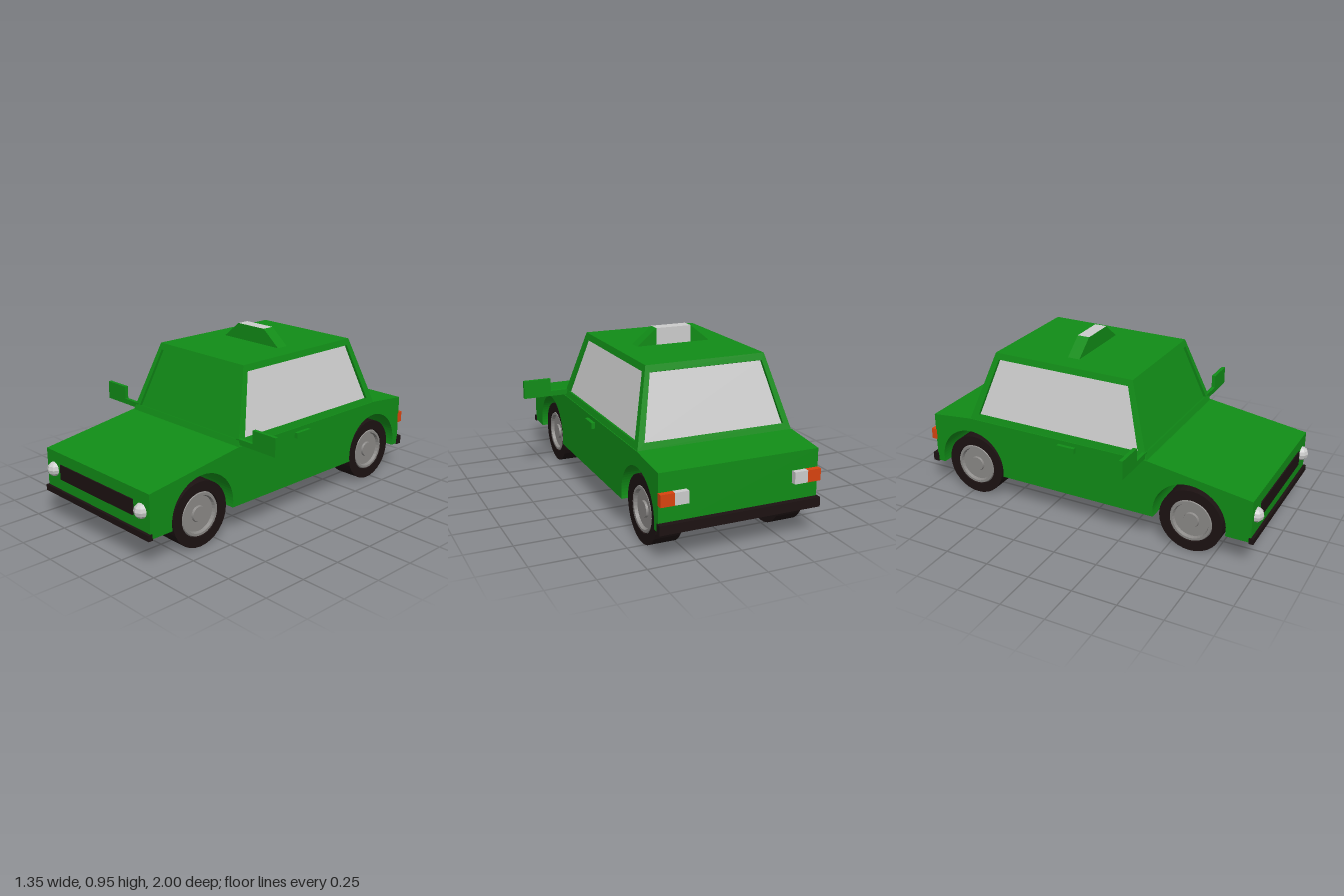
import * as THREE from 'three';

const mat = (color) => new THREE.MeshStandardMaterial({ color, side: THREE.DoubleSide, flatShading: true });
const green = mat(0x118c17), black = mat(0x1c1212), grey = mat(0xcccccc), rimGrey = mat(0x8a8886), orange = mat(0xd8430f);

function add(parent, name, geometry, material, x = 0, y = 0, z = 0) {
  const mesh = new THREE.Mesh(geometry, material);
  mesh.name = name;
  mesh.position.set(x, y, z);
  parent.add(mesh);
  return mesh;
}

// Box given by its extents on each axis
function block(parent, name, material, [x0, x1], [y0, y1], [z0, z1]) {
  return add(parent, name, new THREE.BoxGeometry(Math.abs(x1 - x0), y1 - y0, Math.abs(z1 - z0)), material,
    (x0 + x1) / 2, (y0 + y1) / 2, (z0 + z1) / 2);
}

// Triangles from a list of quads, each counter-clockwise from outside
function quads(list) {
  const pos = [];
  for (const [a, b, c, d] of list) for (const p of [a, b, c, a, c, d]) pos.push(p.x, p.y, p.z);
  const g = new THREE.BufferGeometry();
  g.setAttribute('position', new THREE.Float32BufferAttribute(pos, 3));
  g.computeVertexNormals();
  return g;
}

// Cabin wall with a recessed window; corners run BL, BR, TR, TL
function windowWall(parent, name, corners, glass) {
  const [bl, br, tr, tl] = corners;
  const at = (u, v) => bl.clone().lerp(br, u).lerp(tl.clone().lerp(tr, u), v);
  const normal = br.clone().sub(bl).cross(tl.clone().sub(bl)).normalize();
  const edge = [at(0.04, 0.085), at(0.96, 0.085), at(0.96, 0.91), at(0.04, 0.91)];
  const pane = edge.map((p) => p.clone().addScaledVector(normal, -0.015));
  const frame = [];
  for (let i = 0; i < 4; i++) {
    const j = (i + 1) % 4;
    frame.push([corners[i], corners[j], edge[j], edge[i]], [edge[i], edge[j], pane[j], pane[i]]);
  }
  add(parent, name + 'Frame', quads(frame), green);
  add(parent, name + 'Window', quads([pane]), glass);
}

function makeWheel() {
  const wheel = new THREE.Group();
  const lathe = (pts) => new THREE.LatheGeometry(pts.map(([r, y]) => new THREE.Vector2(r, y)), 32).rotateZ(-Math.PI / 2);
  add(wheel, 'tyre', lathe([[0, -0.07], [0.177, -0.07], [0.177, 0.07], [0.122, 0.07], [0.12, 0.055]]), black);
  add(wheel, 'rim', lathe([[0.121, 0.058], [0.115, 0.07], [0.102, 0.07], [0.096, 0.053], [0.044, 0.053], [0.04, 0.064], [0, 0.064]]), rimGrey);
  return wheel;
}

export function createModel() {
  const car = new THREE.Group();
  car.name = 'taxi';
  const axles = [-0.72, 0.62], W = 0.433;

  // Lower body: side profile with wheel arches, extruded across the car
  const side = new THREE.Shape();
  side.moveTo(0.96, 0.16);
  for (const [z, y] of [[0.96, 0.395], [0.38, 0.48], [-0.72, 0.48], [-0.97, 0.455], [-0.97, 0.16]]) side.lineTo(z, y);
  const a = Math.asin(0.035 / 0.205);
  for (const z of axles) side.absarc(z, 0.195, 0.205, Math.PI + a, -a, true);
  side.closePath();
  const bodyGeo = new THREE.ExtrudeGeometry(side, { depth: 2 * W, bevelEnabled: false, curveSegments: 20 });
  add(car, 'body', bodyGeo.translate(0, 0, -W).rotateY(-Math.PI / 2), green);

  // Cabin: four sloping window walls and a roof
  const cabin = new THREE.Group();
  cabin.name = 'cabin';
  car.add(cabin);
  const ring = (x, y, zf, zb) => [[-x, zf], [x, zf], [x, zb], [-x, zb]].map(([px, z]) => new THREE.Vector3(px, y, z));
  const base = ring(W - 0.004, 0.48, 0.375, -0.72), top = ring(0.33, 0.865, 0.245, -0.59);
  ['windscreen', 'left', 'rear', 'right'].forEach((name, i) => {
    const j = (i + 1) % 4;
    windowWall(cabin, name, [base[i], base[j], top[j], top[i]], i === 0 ? green : grey);
  });
  add(cabin, 'roof', quads([top]), green);

  // Roof sign: lit centre block with sloping ends
  const sign = new THREE.Group();
  sign.name = 'roofSign';
  car.add(sign);
  block(sign, 'signCentre', [green, green, grey, green, green, grey], [-0.1, 0.1], [0.865, 0.955], [-0.205, -0.135]);
  for (const s of [-1, 1]) {
    const wedge = new THREE.Shape([[0.1, 0.865], [0.21, 0.865], [0.1, 0.955]].map(([x, y]) => new THREE.Vector2(s * x, y)));
    add(sign, 'signEnd', new THREE.ExtrudeGeometry(wedge, { depth: 0.07, bevelEnabled: false }), green, 0, 0, -0.205);
  }

  // Bumpers and grille
  block(car, 'frontBumper', black, [-0.438, 0.438], [0.155, 0.188], [0.95, 0.975]);
  block(car, 'rearBumper', black, [-0.438, 0.438], [0.155, 0.205], [-1, -0.965]);
  block(car, 'grille', black, [-0.308, 0.308], [0.25, 0.333], [0.95, 0.967]);

  // Mirrored details and wheels
  for (const s of [-1, 1]) {
    const span = (x0, x1) => [s * x0, s * x1];
    add(car, 'headlight', new THREE.SphereGeometry(0.04, 8, 6), grey, s * 0.37, 0.293, 0.96);
    block(car, 'tailLight', orange, span(0.36, 0.434), [0.295, 0.358], [-1, -0.965]);
    block(car, 'reverseLight', grey, span(0.287, 0.36), [0.295, 0.358], [-1, -0.965]);
    block(car, 'doorHandle', green, span(0.42, 0.453), [0.425, 0.457], [-0.147, -0.042]);
    block(car, 'mirrorArm', green, span(0.4, 0.52), [0.488, 0.518], [0.345, 0.365]);
    block(car, 'mirror', green, span(0.52, 0.677), [0.488, 0.59], [0.345, 0.365]);
    for (const z of axles) {
      const wheel = makeWheel();
      wheel.name = z > 0 ? 'frontWheel' : 'rearWheel';
      wheel.position.set(s * 0.338, 0.177, z);
      if (s < 0) wheel.rotation.y = Math.PI;
      car.add(wheel);
    }
  }
  return car;
}
